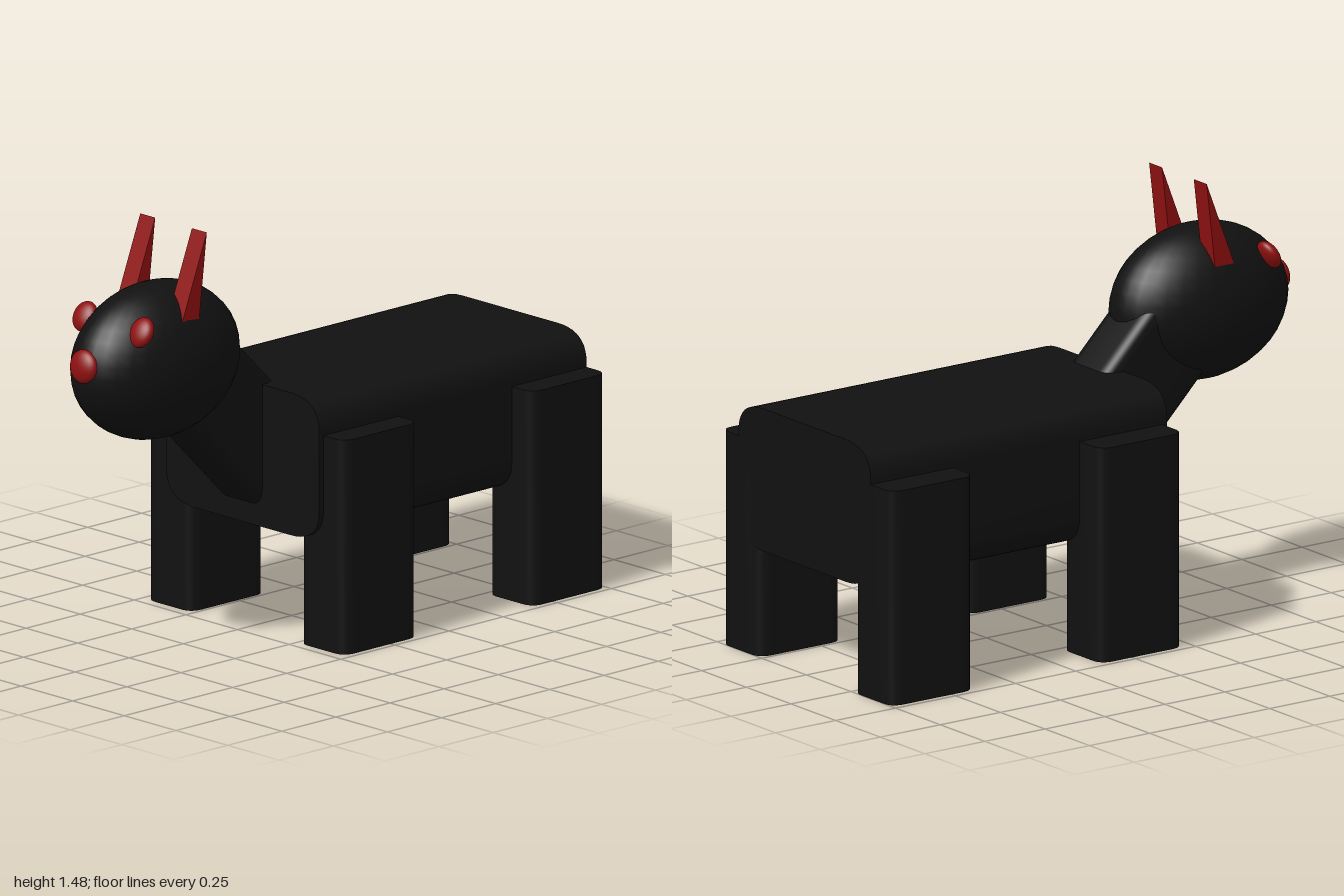
import * as THREE from 'three';
import { toCreasedNormals } from 'three/addons/utils/BufferGeometryUtils.js';

const black = new THREE.MeshStandardMaterial({ color: 0x111111 });
const red = new THREE.MeshStandardMaterial({ color: 0x8f1010 });

// Rounded rectangle centred on the origin, with corner size rx by ry
function roundedRect(w, h, rx, ry) {
  const x = w / 2, y = h / 2;
  const s = new THREE.Shape();
  s.moveTo(-x + rx, -y);
  s.lineTo(x - rx, -y);
  s.quadraticCurveTo(x, -y, x, -y + ry);
  s.lineTo(x, y - ry);
  s.quadraticCurveTo(x, y, x - rx, y);
  s.lineTo(-x + rx, y);
  s.quadraticCurveTo(-x, y, -x, y - ry);
  s.lineTo(-x, -y + ry);
  s.quadraticCurveTo(-x, -y, -x + rx, -y);
  return s;
}

// Straight extrusion centred along z, smooth around the rounded corners only
function prism(shape, depth) {
  const g = new THREE.ExtrudeGeometry(shape, { depth, bevelEnabled: false, curveSegments: 10 });
  g.translate(0, 0, -depth / 2);
  return toCreasedNormals(g, 0.6);
}

export function createModel() {
  const model = new THREE.Group();

  function add(name, geometry, material, x, y, z, tilt = 0) {
    const mesh = new THREE.Mesh(geometry, material);
    mesh.name = name;
    mesh.position.set(x, y, z);
    mesh.rotation.x = tilt;
    model.add(mesh);
    return mesh;
  }

  // Body
  add('body', prism(roundedRect(0.74, 0.495, 0.14, 0.11), 1.235), black, 0.01, 0.6225, -0.3825);

  // Legs, and a neck of the same stock leaning forward
  const post = prism(roundedRect(0.22, 0.345, 0.05, 0.05), 0.745).rotateX(-Math.PI / 2);
  for (const [side, x] of [['left', 0.37], ['right', -0.37]]) {
    add(side + 'FrontLeg', post, black, x, 0.3725, 0.043);
    add(side + 'BackLeg', post, black, x, 0.3725, -0.8275);
  }
  add('neck', post, black, -0.005, 0.793, 0.335, Math.PI / 4);

  // Head and nose
  const ball = new THREE.SphereGeometry(1, 32, 20);
  add('head', ball, black, 0.012, 1.02, 0.642).scale.set(0.203, 0.27, 0.343);
  add('nose', ball, red, 0.01, 1.057, 0.968, -0.15).scale.set(0.06, 0.058, 0.031);

  // Wedge ears: triangular side profile (z, y) extruded across x
  const profile = new THREE.Shape([
    new THREE.Vector2(-0.67, 1.18),
    new THREE.Vector2(-0.59, 1.18),
    new THREE.Vector2(-0.555, 1.475),
  ]);
  const ear = prism(profile, 0.072).rotateY(Math.PI / 2);

  // Eyes and ears on both sides
  for (const [side, s] of [['left', 1], ['right', -1]]) {
    add(side + 'Eye', ball, red, 0.01 + s * 0.137, 1.177, 0.833, -0.5).scale.set(0.049, 0.053, 0.027);
    add(side + 'Ear', ear, red, 0.01 + s * 0.125, 0, 0);
  }

  return model;
}
